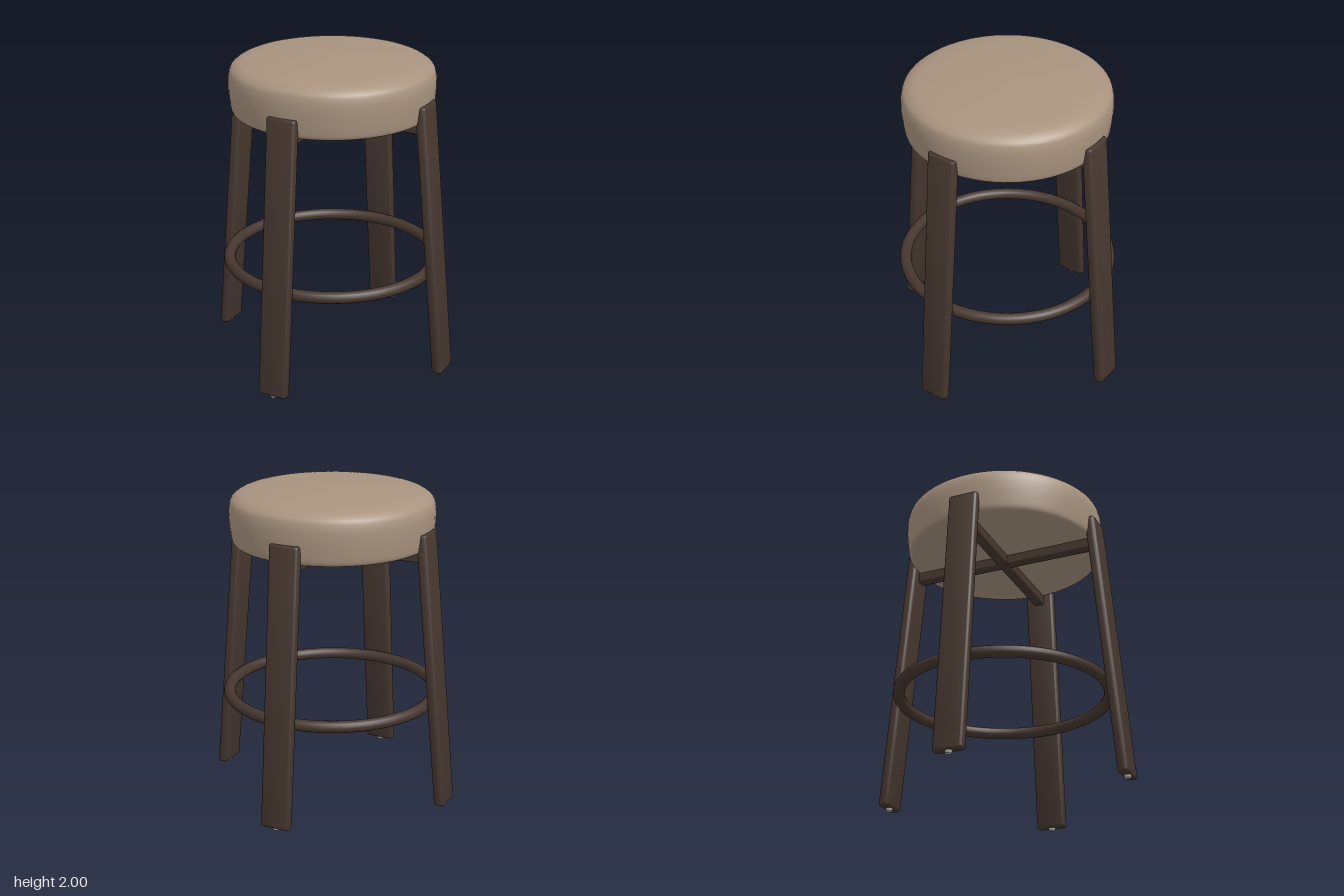
import * as THREE from 'three';
import { toCreasedNormals } from 'three/addons/utils/BufferGeometryUtils.js';
import { RoundedBoxGeometry } from 'three/addons/geometries/RoundedBoxGeometry.js';

const wood = new THREE.MeshStandardMaterial({ name: 'dark wood', color: 0x46372f });
const fabric = new THREE.MeshStandardMaterial({ name: 'beige upholstery', color: 0xa8937f });
const glide = new THREE.MeshStandardMaterial({ name: 'pale glide', color: 0xb4b0aa });

function addMesh(parent, name, geometry, material, x = 0, y = 0, z = 0) {
  const mesh = new THREE.Mesh(geometry, material);
  mesh.name = name;
  mesh.position.set(x, y, z);
  parent.add(mesh);
  return mesh;
}

// Rounded rectangle centred on the origin
function roundedRect(w, h, r) {
  const s = new THREE.Shape();
  const x = w / 2 - r, y = h / 2 - r;
  s.absarc(x, y, r, 0, Math.PI / 2);
  s.absarc(-x, y, r, Math.PI / 2, Math.PI);
  s.absarc(-x, -y, r, Math.PI, Math.PI * 1.5);
  s.absarc(x, -y, r, Math.PI * 1.5, Math.PI * 2);
  s.closePath();
  return s;
}

// Flat plank leg, sheared so it splays outwards towards the floor
function legGeometry() {
  const bottom = 0.018, top = 1.765, bevel = 0.012;
  const geo = new THREE.ExtrudeGeometry(roundedRect(0.07 - 2 * bevel, 0.195 - 2 * bevel, 0.015), {
    depth: top - bottom - 2 * bevel, curveSegments: 5,
    bevelEnabled: true, bevelThickness: bevel, bevelSize: bevel, bevelSegments: 3,
  });
  geo.rotateX(-Math.PI / 2);
  geo.translate(0, bottom + bevel, 0);
  geo.applyMatrix4(new THREE.Matrix4().set(
    1, -0.092, 0, 0.791,
    0, 1, 0, 0,
    0, 0, 1, 0,
    0, 0, 0, 1));
  return toCreasedNormals(geo, 0.7);
}

export function createModel() {
  const model = new THREE.Group();
  model.name = 'stool';

  // Padded round seat: soft top edge, nearly flat underside
  const edge = new THREE.SplineCurve([
    [0.605, 1.643], [0.626, 1.662], [0.637, 1.73], [0.643, 1.81], [0.639, 1.88],
    [0.615, 1.93], [0.53, 1.967], [0.31, 1.989], [0.1, 1.999], [0, 2.0],
  ].map(([x, y]) => new THREE.Vector2(x, y))).getPoints(40);
  edge[edge.length - 1].x = 0;
  addMesh(model, 'seatCushion', new THREE.LatheGeometry(edge, 64), fabric);
  const underside = [new THREE.Vector2(0, 1.636), new THREE.Vector2(0.4, 1.638), new THREE.Vector2(0.605, 1.643)];
  addMesh(model, 'seatUnderside', new THREE.LatheGeometry(underside, 64), fabric);

  // Four splayed legs with a small glide under each
  const legGeo = legGeometry();
  const glideGeo = new THREE.CylinderGeometry(0.024, 0.018, 0.022, 20);
  ['left', 'back', 'right', 'front'].forEach((side, i) => {
    const group = new THREE.Group();
    group.name = side + 'Leg';
    group.rotation.y = i * Math.PI / 2;
    addMesh(group, 'legPlank', legGeo, wood);
    addMesh(group, 'footGlide', glideGeo, glide, 0.79, 0.011, 0);
    model.add(group);
  });

  // Crossed rails under the seat
  const railGeo = new RoundedBoxGeometry(1.26, 0.07, 0.07, 3, 0.01);
  addMesh(model, 'crossRailX', railGeo, wood, 0, 1.61, 0);
  addMesh(model, 'crossRailZ', railGeo, wood, 0, 1.61, 0).rotation.y = Math.PI / 2;

  // Footrest ring
  const ring = addMesh(model, 'footRing', new THREE.TorusGeometry(0.663, 0.037, 16, 80), wood, 0, 0.66, 0);
  ring.rotation.x = Math.PI / 2;

  return model;
}
